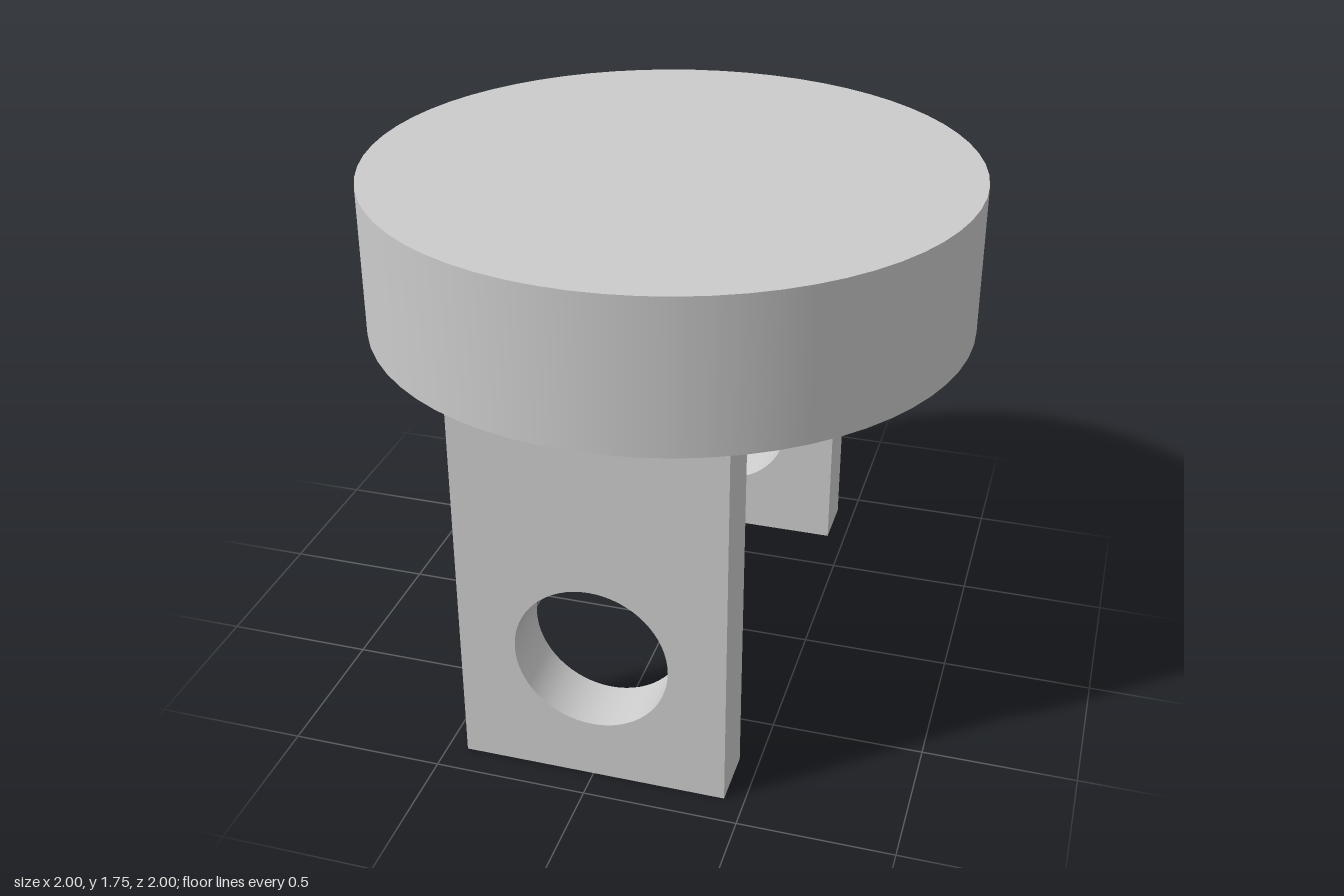
import * as THREE from 'three';
import { toCreasedNormals } from 'three/addons/utils/BufferGeometryUtils.js';

const TOP = 1.75;          // overall height
const LEG_HEIGHT = 1.25;   // underside of the disc
const LEG_HALF_WIDTH = 0.435;
const LEG_DEPTH = 0.2;
const LEG_OUTER_Z = 0.9;
const HOLE_Y = 0.45;
const HOLE_RADIUS = 0.25;

// Upright plate with a round hole, centred on z = 0
function legGeometry() {
  const w = LEG_HALF_WIDTH;
  const outline = new THREE.Shape([
    new THREE.Vector2(-w, 0),
    new THREE.Vector2(w, 0),
    new THREE.Vector2(w, LEG_HEIGHT),
    new THREE.Vector2(-w, LEG_HEIGHT),
  ]);
  outline.holes.push(new THREE.Path().absarc(0, HOLE_Y, HOLE_RADIUS, 0, Math.PI * 2, true));
  const geometry = new THREE.ExtrudeGeometry(outline, {
    depth: LEG_DEPTH, bevelEnabled: false, curveSegments: 32,
  });
  geometry.translate(0, 0, -LEG_DEPTH / 2);
  return toCreasedNormals(geometry, 0.5);
}

export function createModel() {
  const model = new THREE.Group();
  model.name = 'discOnPiercedLegs';
  const material = new THREE.MeshStandardMaterial({ color: 0xcccccc });

  // Thick round top
  const thickness = TOP - LEG_HEIGHT;
  const disc = new THREE.Mesh(new THREE.CylinderGeometry(1, 1, thickness, 64), material);
  disc.name = 'discTop';
  disc.position.y = LEG_HEIGHT + thickness / 2;
  model.add(disc);

  // Front and back legs
  const geometry = legGeometry();
  for (const [name, side] of [['frontLeg', 1], ['backLeg', -1]]) {
    const leg = new THREE.Mesh(geometry, material);
    leg.name = name;
    leg.position.z = side * (LEG_OUTER_Z - LEG_DEPTH / 2);
    model.add(leg);
  }
  return model;
}
